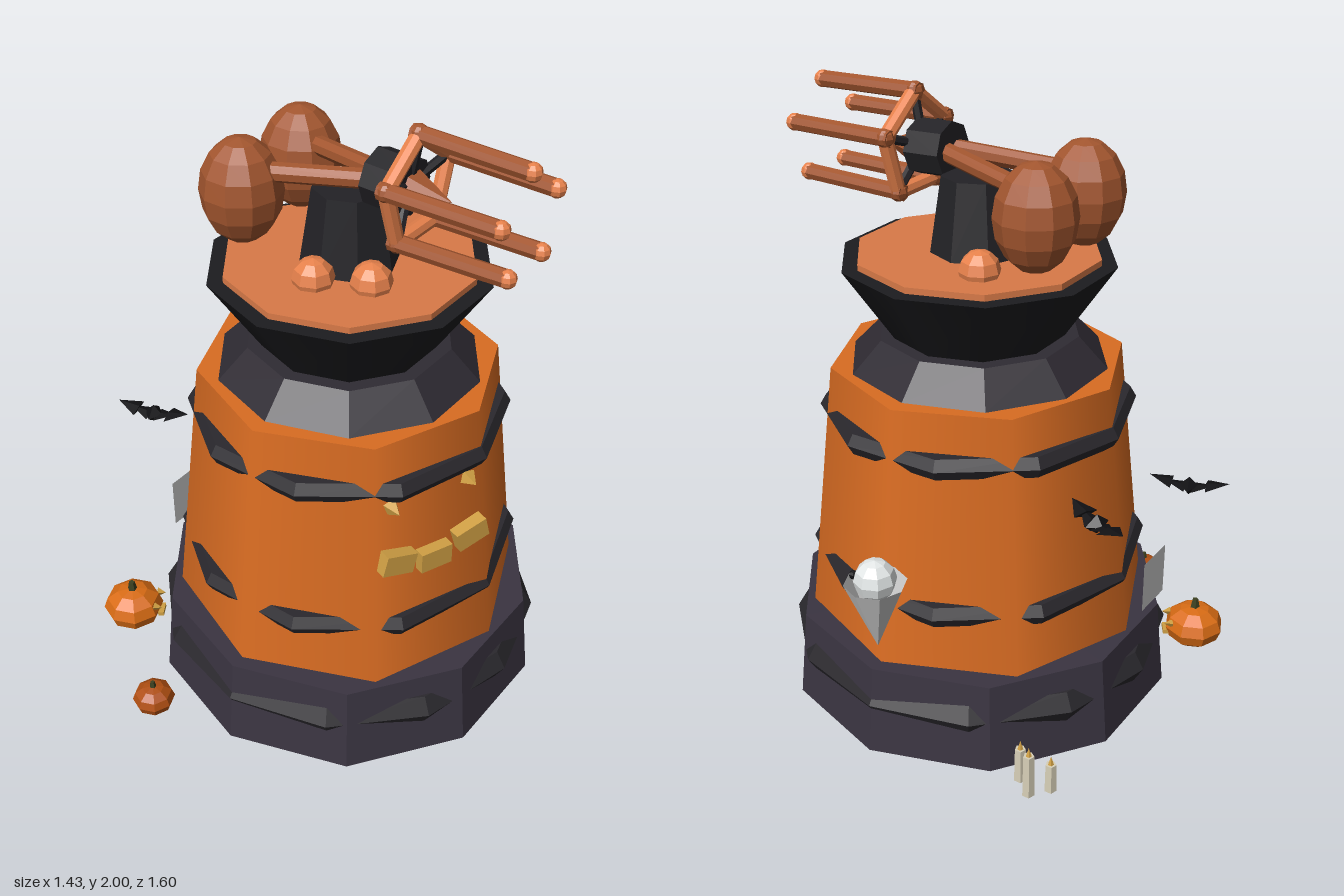
import * as THREE from 'three';

const C = {
  orange: 0xd96c22, disc: 0xd97a48, copper: 0xa3562f, knob: 0xe8824c, base: 0x3a3441, collar: 0x2f2b33,
  cup: 0x1c1c1f, stripe: 0x2a282d, black: 0x232226, gold: 0xd0a044, pumpkin: 0xd96c14, smallPumpkin: 0xb04f12,
  stem: 0x3c4020, white: 0xe4e8e8, sheet: 0xc4c8c8, dark: 0x111114, wax: 0xd8d0b8,
};

const mat = (color, flat = true, open = false) => new THREE.MeshStandardMaterial({
  color, flatShading: flat, side: open ? THREE.DoubleSide : THREE.FrontSide });

function add(parent, name, geo, material, x = 0, y = 0, z = 0) {
  const m = new THREE.Mesh(geo, material);
  m.name = name;
  m.position.set(x, y, z);
  parent.add(m);
  return m;
}

function group(parent, name, x = 0, y = 0, z = 0) {
  const g = new THREE.Group();
  g.name = name;
  g.position.set(x, y, z);
  parent.add(g);
  return g;
}

// Upright frustum between two heights
function frustum(parent, name, rBottom, rTop, y0, y1, sides, material) {
  return add(parent, name, new THREE.CylinderGeometry(rTop, rBottom, y1 - y0, sides), material, 0, (y0 + y1) / 2, 0);
}

// Rod between two points
function rod(parent, name, a, b, r, material, sides = 8) {
  const d = b.clone().sub(a);
  const m = add(parent, name, new THREE.CylinderGeometry(r, r, d.length(), sides), material);
  m.position.copy(a).addScaledVector(d, 0.5);
  m.quaternion.setFromUnitVectors(new THREE.Vector3(0, 1, 0), d.normalize());
  return m;
}

function buildTower(root) {
  const t = group(root, 'tower', 0.07, 0, 0.02);
  frustum(t, 'base', 0.65, 0.62, 0, 0.3, 10, mat(C.base));
  frustum(t, 'body', 0.572, 0.477, 0.3, 1.15, 8, mat(C.orange, false));
  frustum(t, 'collar', 0.42, 0.325, 1.15, 1.25, 10, mat(C.collar));
  frustum(t, 'cup', 0.28, 0.44, 1.25, 1.49, 10, mat(C.cup, false));
  frustum(t, 'platform', 0.39, 0.39, 1.49, 1.51, 10, mat(C.disc));
  frustum(t, 'turret', 0.152, 0.115, 1.51, 1.75, 8, mat(C.black));

  // Coarse rings that break through the flat walls as stripes
  for (const [y, r, tube, n] of [[0.17, 0.577, 0.065, 12], [0.495, 0.52, 0.04, 10], [0.99, 0.475, 0.04, 10]]) {
    add(t, 'stripeRing', new THREE.TorusGeometry(r, tube, 6, n), mat(C.stripe), 0, y, 0).rotation.x = Math.PI / 2;
  }

  // Carved face on one wall
  const face = group(t, 'face');
  face.rotation.y = THREE.MathUtils.degToRad(67.5);
  for (const s of [-1, 1]) {
    const eye = add(face, 'eye', new THREE.ConeGeometry(0.042, 0.07, 4), mat(C.gold), s * 0.137, 0.935, 0.475);
    eye.rotation.set(Math.PI / 2, s * 0.5, 0);
  }
  for (const s of [-1, 0, 1]) {
    const tooth = add(face, 'mouthBlock', new THREE.BoxGeometry(0.11, 0.07, 0.05), mat(C.gold),
      s * 0.133, s ? 0.745 : 0.71, 0.495);
    tooth.rotation.z = s * 0.25;
  }
}

function buildCannon(root) {
  const g = group(root, 'cannon', 0, 1.81, 0.02);
  const copper = mat(C.copper), black = mat(C.black);
  const v = (x, y, z) => new THREE.Vector3(x, y, z);
  rod(g, 'hub', v(0.16, 0, 0), v(0.285, -0.005, 0), 0.088, black);

  // Rear counterweights on arms
  for (const s of [-1, 1]) {
    rod(g, 'arm', v(-0.18, -0.04, s * 0.125), v(0.2, 0, s * 0.015), 0.03, copper);
    const ball = add(g, 'counterweight', new THREE.SphereGeometry(0.128, 10, 8), copper, -0.222, -0.105, s * 0.142);
    ball.scale.y = 1.3;
  }

  // Five barrels on a pentagonal ring with spokes
  const at = (i, x, r) => {
    const a = Math.PI / 2 + i * Math.PI * 0.4;
    return v(x, Math.sin(a) * r, Math.cos(a) * r);
  };
  for (let i = 0; i < 5; i++) {
    const start = at(i, 0.3, 0.163), tip = at(i, 0.655, 0.154);
    rod(g, 'barrel', at(i, 0.28, 0.163), tip, 0.027, copper);
    add(g, 'muzzle', new THREE.SphereGeometry(0.028, 8, 6), mat(C.knob), tip.x, tip.y, tip.z);
    rod(g, 'ringBar', start, at(i + 1, 0.3, 0.163), 0.024, mat(C.knob));
    add(g, 'ringJoint', new THREE.SphereGeometry(0.03, 8, 6), copper, start.x, start.y, start.z);
    rod(g, 'spoke', v(0.27, 0, 0), at(i, 0.3, 0.15), 0.015, black, 6);
  }
  add(g, 'nose', new THREE.ConeGeometry(0.065, 0.14, 6), copper, 0.345, -0.01, 0).rotation.z = -Math.PI / 2;

  // Knobs on the platform
  for (const [x, z] of [[-0.06, -0.17], [0.07, 0.2], [0.22, 0.12]]) {
    add(root, 'platformKnob', new THREE.SphereGeometry(0.065, 8, 6), mat(C.knob), x, 1.525, z);
  }
}

function buildBat(root, x, y, z, turn) {
  const b = group(root, 'bat', x, y, z);
  b.rotation.y = turn;
  const m = mat(C.dark);
  add(b, 'batBody', new THREE.OctahedronGeometry(0.032), m, 0, -0.005, 0).scale.z = 1.3;
  for (const s of [-1, 1]) {
    const wing = group(b, 'wing', s * 0.015, -0.01, 0);
    wing.rotation.z = s * 0.25;
    const outer = add(wing, 'wingTip', new THREE.ConeGeometry(0.042, 0.075, 4), m, s * 0.08, 0, 0);
    const inner = add(wing, 'wingRoot', new THREE.ConeGeometry(0.036, 0.075, 4), m, s * 0.035, 0, 0);
    for (const c of [outer, inner]) {
      c.rotation.z = -s * Math.PI / 2;
      c.scale.x = 0.25;
    }
  }
}

function buildGhost(root) {
  const g = group(root, 'ghost', -0.045, 0, -0.708);
  add(g, 'ghostHead', new THREE.SphereGeometry(0.065, 8, 6), mat(C.white), 0, 0.735, 0);
  add(g, 'ghostSheet', new THREE.ConeGeometry(0.095, 0.225, 8, 1, true), mat(C.sheet, true, true), 0, 0.613, 0).rotation.x = Math.PI;
  for (const s of [-1, 1]) add(g, 'ghostEye', new THREE.SphereGeometry(0.014, 6, 5), mat(C.dark), 0.058, 0.745, s * 0.027);
}

function buildPumpkin(root, x, z, r, color, hasFace) {
  const h = r * 0.73;
  const p = group(root, 'pumpkin', x, r * 0.8, z);
  add(p, 'pumpkinShell', new THREE.SphereGeometry(r, 8, 6), mat(color)).scale.y = 0.73;
  add(p, 'stem', new THREE.CylinderGeometry(r * 0.1, r * 0.17, r * 0.35, 5), mat(C.stem), 0, h + r * 0.1, 0);
  if (!hasFace) return;
  const face = group(p, 'pumpkinFace');
  face.rotation.y = Math.PI * 0.68;
  for (const s of [-1, 1]) {
    add(face, 'pumpkinEye', new THREE.ConeGeometry(0.018, 0.03, 3), mat(C.gold), s * 0.038, 0.025, 0.095).rotation.x = Math.PI / 2;
  }
  add(face, 'pumpkinMouth', new THREE.BoxGeometry(0.05, 0.016, 0.02), mat(C.gold), 0, -0.02, 0.1);
}

export function createModel() {
  const root = new THREE.Group();
  root.name = 'hauntedTower';
  buildTower(root);
  buildCannon(root);
  buildBat(root, -0.553, 0.89, -0.305, -0.45);
  buildBat(root, -0.595, 0.775, 0.235, 0.3);
  buildGhost(root);
  buildPumpkin(root, -0.547, 0.465, 0.104, C.pumpkin, true);
  buildPumpkin(root, -0.21, 0.73, 0.07, C.smallPumpkin, false);

  // Candles behind the base
  for (const [x, z, h] of [[-0.515, -0.475, 0.1], [-0.468, -0.53, 0.15], [-0.41, -0.485, 0.12]]) {
    const c = group(root, 'candle', x, 0, z);
    frustum(c, 'wax', 0.02, 0.018, 0, h, 5, mat(C.wax));
    add(c, 'flame', new THREE.ConeGeometry(0.01, 0.03, 5), mat(C.gold), 0, h + 0.015, 0);
  }

  // Thin pale panel beside the body
  add(root, 'sidePanel', new THREE.PlaneGeometry(0.15, 0.18), mat(C.sheet, true, true), -0.515, 0.42, 0.18).rotation.y = -Math.PI / 2;
  return root;
}
